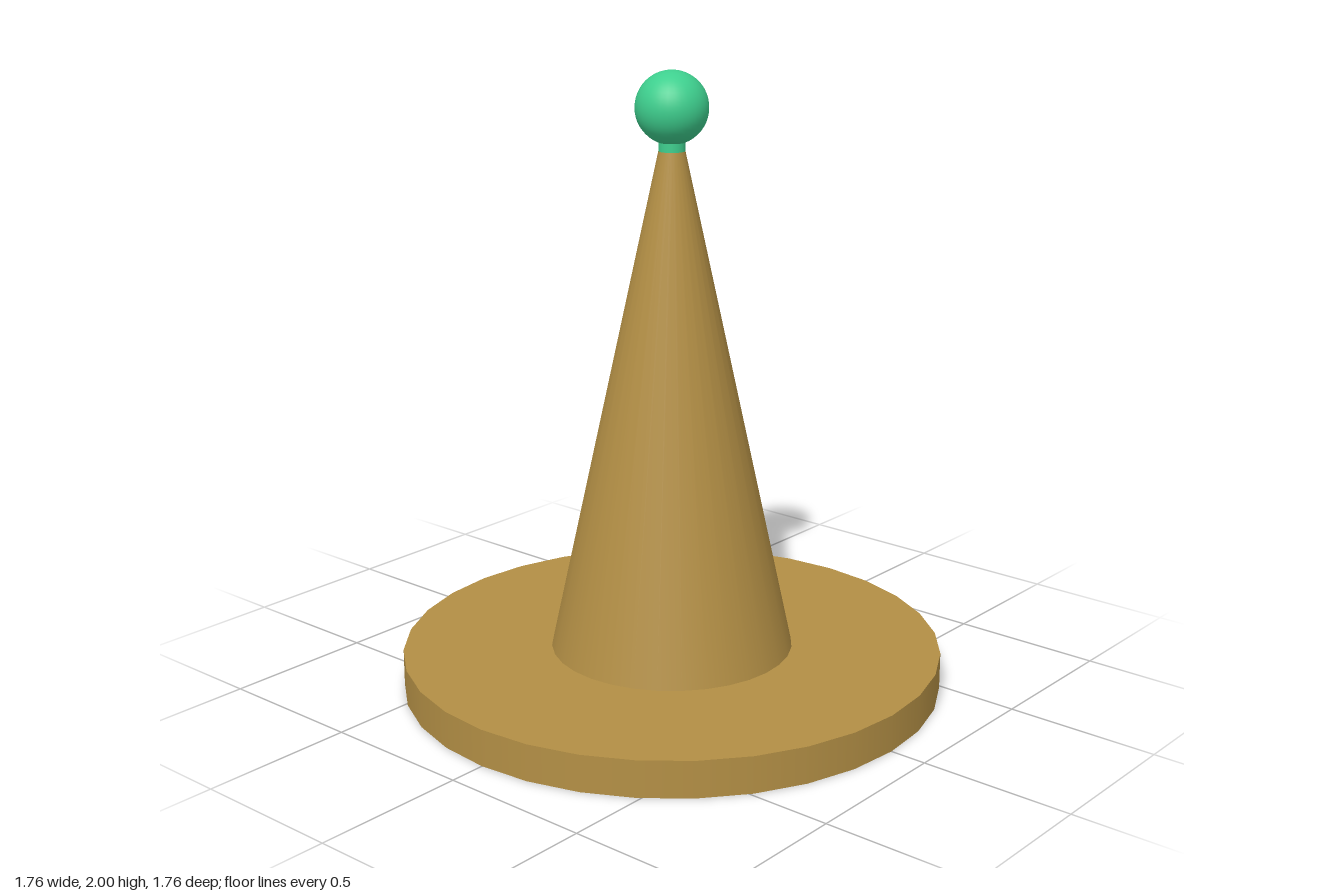
import * as THREE from 'three';

export function createModel() {
  const model = new THREE.Group();
  const gold = new THREE.MeshStandardMaterial({ color: 0xb38f45 });
  const green = new THREE.MeshStandardMaterial({ color: 0x3ecf8e });

  const add = (name, geometry, material, y) => {
    const mesh = new THREE.Mesh(geometry, material);
    mesh.name = name;
    mesh.position.y = y;
    model.add(mesh);
  };
  // Upright frustum between two heights
  const frustum = (name, rTop, rBottom, y0, y1, material) =>
    add(name, new THREE.CylinderGeometry(rTop, rBottom, y1 - y0, 32), material, (y0 + y1) / 2);

  // Wide round brim and the tall tapered cone on it
  frustum('brim', 0.88, 0.88, 0, 0.12, gold);
  frustum('cone', 0.04, 0.395, 0.12, 1.76, gold);

  // Short collar and the ball on the tip
  frustum('collar', 0.042, 0.042, 1.75, 1.82, green);
  add('ball', new THREE.SphereGeometry(0.115, 32, 24), green, 1.885);

  return model;
}
